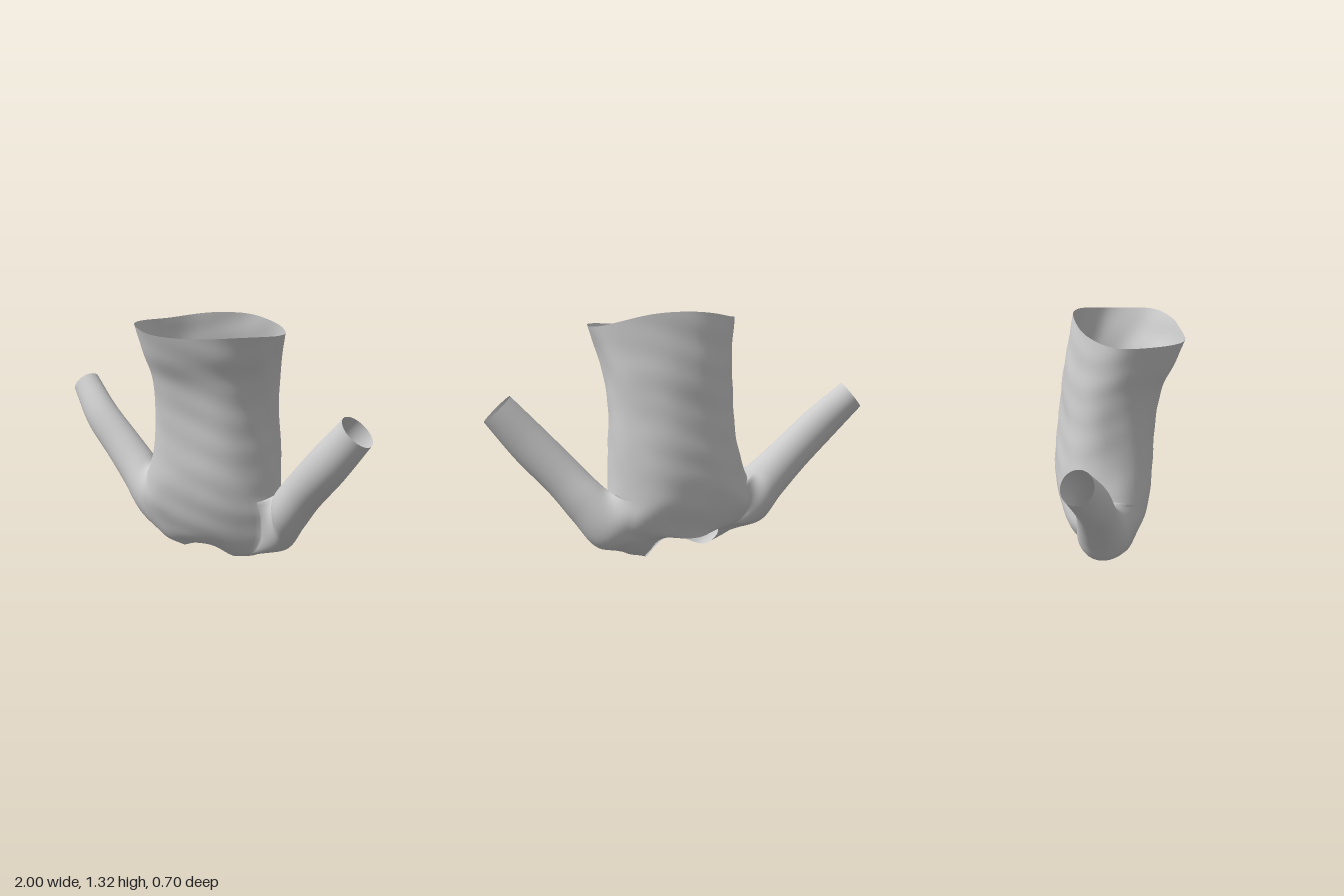
import * as THREE from 'three';

const material = new THREE.MeshStandardMaterial({ color: 0xcccccc, side: THREE.DoubleSide });
const V = (x, y, z) => new THREE.Vector3(x, y, z);

const COLS = 64, PER_RING = 6;             // torso grid
const TOP = 5 * PER_RING, BOTTOM = 8 * PER_RING, HALF = 6; // armhole rows and half width in columns
const LOOP = 2 * (BOTTOM - TOP) + 4 * HALF, SLEEVE_ROWS = 40;

// Torso sections from hem to neck: x right, x left, z back, z front,
// then y right, left, back, front, the dip of the front corners and the sag of all four
const torso = [
  [-.35, .465, -.22, .35, 1.285, 1.245, 1.325, 1.235, 0, 0],
  [-.32, .43, -.25, .31, 1.14, 1.12, 1.17, 1.12, 0, 0],
  [-.295, .405, -.28, .25, 1, .99, 1.01, .99, 0, 0],
  [-.288, .392, -.3, .215, .82, .82, .82, .82, 0, 0],
  [-.305, .398, -.328, .2, .62, .62, .62, .62, 0, 0],
  [-.362, .408, -.34, .19, .45, .385, .47, .46, 0, .06],
  [-.4, .425, -.33, .16, .32, .27, .34, .3, 0, .03],
  [-.37, .41, -.295, .12, .2, .15, .225, .18, .05, 0],
  [-.285, .33, -.28, .08, .11, .065, .18, .11, .12, 0],
  [-.19, .215, -.27, .03, .095, .05, .14, .07, .16, 0],
];

// Sleeve sections from cuff to shoulder: upper x, y, lower x, y, z, radius in depth
const sleeves = {
  rightSleeve: [
    [-.89, .915, -1, .79, -.275, .08], [-.72, .76, -.86, .61, -.2, .09], [-.55, .605, -.7, .445, -.165, .1],
    [-.435, .5, -.565, .295, -.14, .115], [-.39, .46, -.44, .15, -.115, .135],
  ],
  leftSleeve: [
    [.86, .885, 1, .755, .205, .085], [.71, .725, .85, .555, .165, .106], [.54, .535, .69, .37, .085, .112],
    [.455, .435, .585, .225, .03, .128], [.42, .395, .475, .085, -.04, .132],
  ],
};

function torsoRing([xr, xl, zb, zf, yr, yl, yb, yf, dip, sag]) {
  return Array.from({ length: COLS }, (_, i) => {
    const a = i / COLS * Math.PI * 2, c = Math.cos(a), s = Math.sin(a);
    const square = v => Math.sign(v) * Math.abs(v) ** .88;
    const side = (yl + yr) / 2 + c * (yl - yr) / 2, face = (yf + yb) / 2 + s * (yf - yb) / 2;
    return V((xl + xr) / 2 + square(c) * (xl - xr) / 2,
      c * c * side + s * s * face - dip * c * c * s - sag * Math.sin(2 * a) ** 2,
      (zf + zb) / 2 + square(s) * (zf - zb) / 2);
  });
}

function sleeveRings(sections, turn) {
  const centres = sections.map(([ux, uy, lx, ly, z]) => V((ux + lx) / 2, (uy + ly) / 2, z));
  const last = sections.length - 1;
  return sections.map(([ux, uy, lx, ly, , rz], k) => {
    const across = V(0, 0, 1);
    if (k < last) { // square to the sleeve, but parallel to the armhole at the shoulder
      const t = centres[k + 1].clone().sub(centres[Math.max(k - 1, 0)]).normalize();
      across.addScaledVector(t, -t.z);
    }
    across.setLength(rz * turn);
    const up = V((ux - lx) / 2, (uy - ly) / 2, 0);
    return Array.from({ length: LOOP }, (_, i) => {
      const a = i / LOOP * Math.PI * 2;
      return centres[k].clone().addScaledVector(up, Math.cos(a)).addScaledVector(across, Math.sin(a));
    });
  });
}

// Rows of points along smooth rails through matching rings
function rows(rings, steps) {
  const rails = rings[0].map((_, i) => new THREE.CatmullRomCurve3(rings.map(r => r[i])));
  return Array.from({ length: steps + 1 }, (_, j) => rails.map(rail => rail.getPoint(j / steps)));
}

// Soft cloth folds
const fold = (p, a) => .002 * Math.sin(38 * p.y + 3 * Math.sin(2 * a)) * Math.sin(a + .4)
  + .004 * Math.sin(5 * a + 3 * p.y) + .002 * Math.sin(9 * a - 13 * p.y);

// Vertex numbers around an armhole, from its top and round with falling columns
function armhole(column) {
  const at = (j, i) => j * COLS + (column + i + COLS) % COLS, loop = [];
  for (let i = 0; i > -HALF; i--) loop.push(at(TOP, i));
  for (let j = TOP; j < BOTTOM; j++) loop.push(at(j, -HALF));
  for (let i = -HALF; i < HALF; i++) loop.push(at(BOTTOM, i));
  for (let j = BOTTOM; j > TOP; j--) loop.push(at(j, HALF));
  for (let i = HALF; i > 0; i--) loop.push(at(TOP, i));
  return loop;
}

// Faces between rows of vertex numbers
function skin(grid, open = () => false) {
  const index = [], n = grid[0].length;
  for (let j = 0; j + 1 < grid.length; j++) for (let i = 0; i < n; i++) {
    if (open(j, i)) continue;
    const k = (i + 1) % n, [a, b, c, d] = [grid[j][i], grid[j][k], grid[j + 1][i], grid[j + 1][k]];
    index.push(a, b, c, b, d, c);
  }
  return index;
}

export function createModel() {
  const points = [], parts = {};
  const addRow = row => row.map(p => points.push(p) - 1);

  // Torso, open at the hem, the neck and both armholes
  const grid = rows(torso.map(torsoRing), (torso.length - 1) * PER_RING).map(row => addRow(row.map((p, i) => {
    const a = i / COLS * Math.PI * 2;
    return p.add(V(Math.cos(a), 0, Math.sin(a)).multiplyScalar(fold(p, a)));
  })));
  parts.torso = skin(grid, (j, i) => j >= TOP && j < BOTTOM
    && (i + HALF) % (COLS / 2) < 2 * HALF);

  // Sleeves, each sewn to the rim of its armhole
  for (const [name, sections] of Object.entries(sleeves)) {
    const left = name === 'leftSleeve', rim = armhole(left ? 0 : COLS / 2);
    const rings = [...sleeveRings(sections, left ? -1 : 1), rim.map(v => points[v])];
    const sleeve = rows(rings, SLEEVE_ROWS).slice(0, -1).map(addRow);
    parts[name] = skin([...sleeve, rim]);
  }

  // Normals are shared so that the seams stay smooth
  const whole = new THREE.BufferGeometry().setFromPoints(points);
  whole.setIndex(Object.values(parts).flat());
  whole.computeVertexNormals();

  const group = new THREE.Group();
  for (const [name, index] of Object.entries(parts)) {
    const geometry = new THREE.BufferGeometry();
    geometry.setAttribute('position', whole.getAttribute('position'));
    geometry.setAttribute('normal', whole.getAttribute('normal'));
    geometry.setIndex(index);
    const mesh = new THREE.Mesh(geometry, material);
    mesh.name = name;
    group.add(mesh);
  }
  return group;
}
